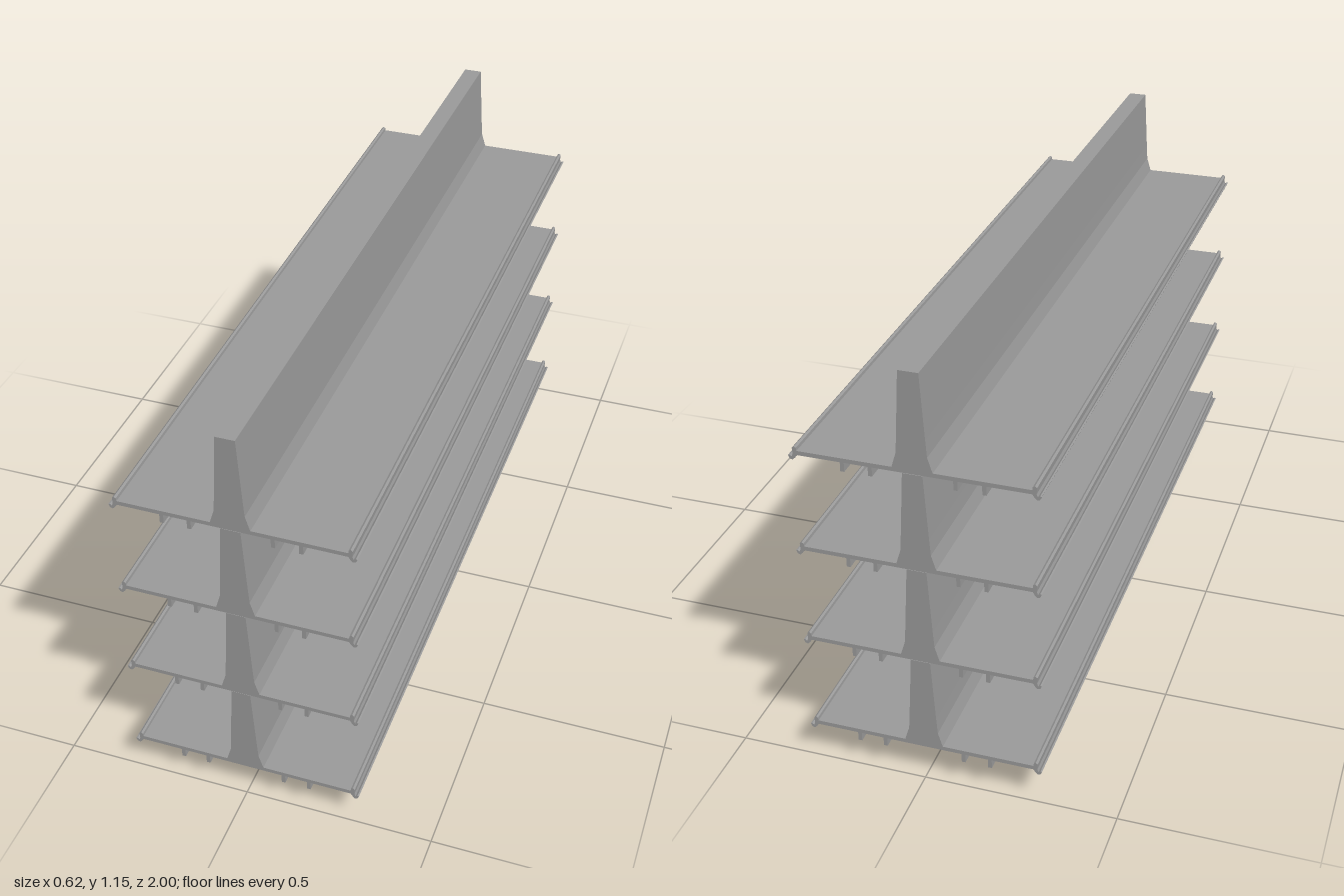
import * as THREE from 'three';

const LENGTH = 2;
const TIERS = 4;
const PITCH = 0.264;
const BASE_Y = 0.101;

// Extrude an outline along z, centred on z = 0
function extrude(points, depth) {
  const shape = new THREE.Shape(points.map(([x, y]) => new THREE.Vector2(x, y)));
  const geometry = new THREE.ExtrudeGeometry(shape, { depth, bevelEnabled: false });
  return geometry.translate(0, 0, -depth / 2);
}

const mirrored = (points) => points.map(([x, y]) => [-x, y]).reverse();

export function createModel() {
  const model = new THREE.Group();
  model.name = 'doubleSidedShelving';

  const grey = new THREE.MeshStandardMaterial({ color: 0x999999 });
  grey.name = 'grey metal';
  const dark = new THREE.MeshStandardMaterial({ color: 0x3c3c3c });
  dark.name = 'dark bracket';

  // Half section: two ribs, hooked lip, plate top and tapered web
  const half = [
    [0.099, 0], [0.099, -0.024], [0.109, -0.024], [0.109, 0],
    [0.168, 0], [0.168, -0.024], [0.178, -0.024], [0.178, 0],
    [0.286, 0], [0.291, -0.008], [0.297, -0.014], [0.304, -0.012],
    [0.308, -0.003], [0.304, -0.002], [0.299, -0.006], [0.296, 0.002],
    [0.297, 0.018], [0.292, 0.022], [0.287, 0.019], [0.286, 0.011],
    [0.05, 0.011], [0.038, 0.05], [0.035, 0.095], [0.025, PITCH - 0.001],
  ];
  const section = extrude([...half, ...mirrored(half)], LENGTH);

  // Curved support under the plate and its small tip behind the lip
  const support = [
    [0.052, 0], [0.052, -0.1], [0.07, -0.1], [0.085, -0.085],
    [0.12, -0.06], [0.175, -0.033], [0.2, -0.014], [0.225, 0],
  ];
  const tip = [[0.25, 0], [0.27, -0.009], [0.295, -0.013], [0.291, 0]];

  for (let i = 0; i < TIERS; i++) {
    const tier = new THREE.Group();
    tier.name = `tier${i + 1}`;
    tier.position.y = BASE_Y + i * PITCH;

    const shelf = new THREE.Mesh(section, grey);
    shelf.name = 'shelfAndWeb';
    tier.add(shelf);

    for (const side of [1, -1]) {
      for (const z of [-0.284, 0.284]) {
        const bracket = new THREE.Group();
        bracket.name = side > 0 ? 'leftBracket' : 'rightBracket';
        bracket.position.z = z;
        for (const [name, outline] of [['support', support], ['tip', tip]]) {
          const part = new THREE.Mesh(
            extrude(side > 0 ? outline : mirrored(outline), 0.028), dark);
          part.name = name;
          bracket.add(part);
        }
        tier.add(bracket);
      }
    }
    model.add(tier);
  }
  return model;
}
